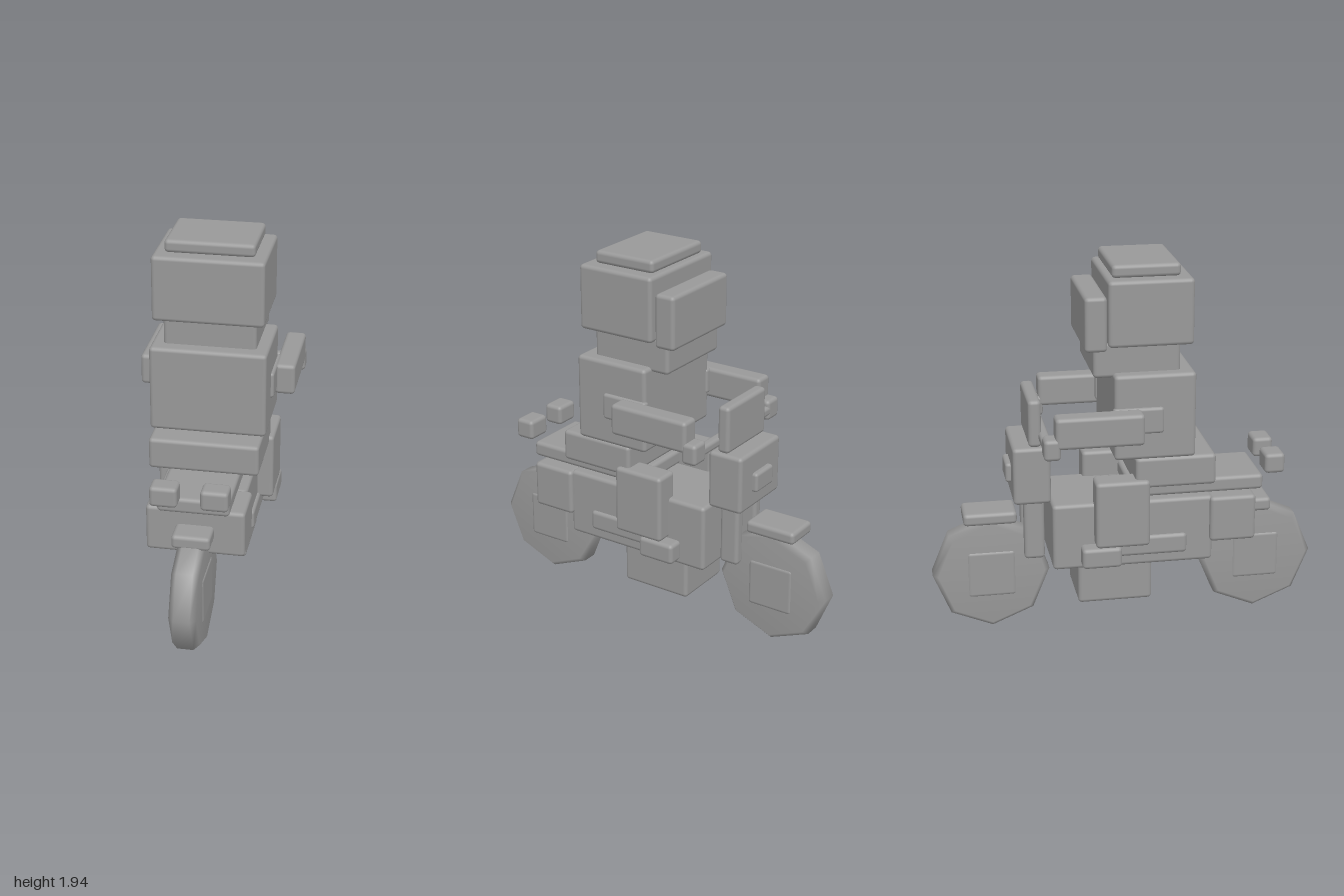
import * as THREE from 'three';
import { RoundedBoxGeometry } from 'three/addons/geometries/RoundedBoxGeometry.js';

export function createModel() {
  const model = new THREE.Group();
  model.name = 'motorcycleAndRider';
  const grey = new THREE.MeshStandardMaterial({ color: 0x999999 });
  grey.name = 'grey';

  function add(name, geometry, x, y, z) {
    const mesh = new THREE.Mesh(geometry, grey);
    mesh.name = name;
    mesh.position.set(x, y, z);
    model.add(mesh);
    return mesh;
  }

  // Soft-edged box given by its extents on each axis
  function box(name, [x0, x1], [y0, y1], [z0, z1], bevel = 0.02) {
    const w = x1 - x0, h = y1 - y0, d = z1 - z0;
    const r = Math.min(bevel, Math.min(w, h, d) * 0.35);
    return add(name, new RoundedBoxGeometry(w, h, d, 2, r),
      (x0 + x1) / 2, (y0 + y1) / 2, (z0 + z1) / 2);
  }
  const centred = (name, half, y, z) => box(name, [-half, half], y, z);
  function pair(name, [x0, x1], y, z) {
    box(name + 'Left', [x0, x1], y, z);
    box(name + 'Right', [-x1, -x0], y, z);
  }

  // Eight-sided wheels with chamfered rims and square hubs
  const profile = [[0, -0.068], [0.275, -0.068], [0.302, -0.04],
    [0.302, 0.04], [0.275, 0.068], [0, 0.068]].map(([x, y]) => new THREE.Vector2(x, y));
  for (const [name, z] of [['rear', 0.698], ['front', -0.698]]) {
    const tyre = new THREE.LatheGeometry(profile, 8).rotateZ(Math.PI / 2);
    add(name + 'Wheel', tyre, 0, 0.302, z);
    centred(name + 'Hub', 0.073, [0.175, 0.43], [z - 0.127, z + 0.127]);
  }

  // Bike body
  centred('frame', 0.22, [0.365, 0.717], [-0.397, 0.428]);
  centred('engine', 0.168, [0.145, 0.4], [-0.262, 0.122]);
  centred('tailBox', 0.245, [0.473, 0.716], [0.41, 0.648]);
  centred('seat', 0.178, [0.719, 0.8], [0, 0.7]);
  centred('rearFender', 0.095, [0.56, 0.632], [0.55, 0.77]);
  centred('frontFender', 0.095, [0.583, 0.648], [-0.836, -0.563]);
  pair('tailLight', [0.055, 0.19], [0.805, 0.91], [0.705, 0.81]);
  pair('exhaust', [0.17, 0.235], [0.42, 0.527], [-0.1, 0.292]);

  // Steering
  pair('fork', [0.055, 0.115], [0.39, 0.74], [-0.53, -0.425]);
  centred('headlightHousing', 0.187, [0.72, 1.02], [-0.587, -0.397]);
  centred('headlight', 0.08, [0.805, 0.907], [-0.615, -0.57]);
  centred('windshield', 0.177, [1.02, 1.263], [-0.505, -0.44]);
  centred('handlebar', 0.38, [1.05, 1.1], [-0.455, -0.405]);

  // Rider
  centred('hips', 0.275, [0.803, 0.965], [0.018, 0.428]);
  centred('torso', 0.29, [0.965, 1.404], [-0.092, 0.317]);
  centred('neck', 0.23, [1.378, 1.56], [-0.187, 0.247]);
  centred('helmet', 0.275, [1.54, 1.871], [-0.118, 0.306]);
  centred('visor', 0.245, [1.513, 1.788], [-0.229, -0.118]);
  centred('helmetTop', 0.22, [1.872, 1.937], [-0.092, 0.248]);
  pair('shoulder', [0.26, 0.305], [1.103, 1.238], [-0.1, 0.154]);
  pair('arm', [0.292, 0.395], [1.076, 1.236], [-0.397, 0.042]);
  pair('hand', [0.292, 0.395], [1.022, 1.13], [-0.455, -0.372]);
  pair('leg', [0.165, 0.3], [0.5, 0.852], [-0.187, 0.088]);
  pair('foot', [0.205, 0.3], [0.392, 0.5], [-0.257, -0.055]);

  return model;
}
